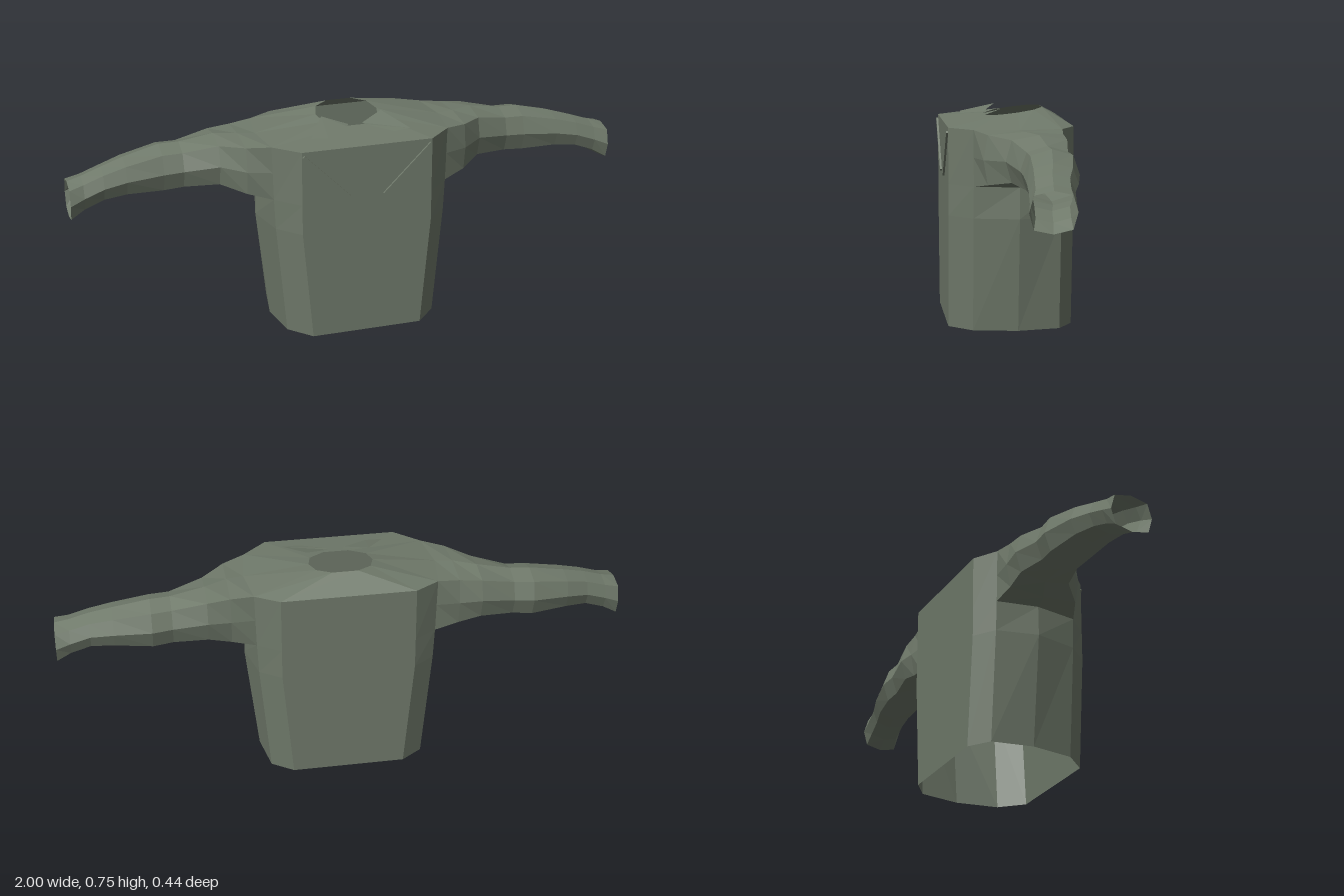
import * as THREE from 'three';

// Flat-shaded surface through equal-length rings of [x, y, z]; keep(ringIndex, sideIndex) can leave openings
function skin(name, rings, material, keep = () => true) {
  const n = rings[0].length, index = [];
  for (let r = 0; r < rings.length - 1; r++) {
    for (let i = 0; i < n; i++) {
      if (!keep(r, i)) continue;
      const j = (i + 1) % n, a = r * n + i, b = r * n + j, c = a + n, d = b + n;
      index.push(a, b, d, a, d, c);
    }
  }
  const geometry = new THREE.BufferGeometry();
  geometry.setAttribute('position', new THREE.Float32BufferAttribute(rings.flat(2), 3));
  geometry.setIndex(index);
  const flat = geometry.toNonIndexed();
  flat.computeVertexNormals();
  const mesh = new THREE.Mesh(flat, material);
  mesh.name = name;
  return mesh;
}

// Small flat panel, a fan of triangles
function panel(name, points, material) {
  const geometry = new THREE.BufferGeometry();
  const tris = [];
  for (let i = 1; i < points.length - 1; i++) tris.push(points[0], points[i], points[i + 1]);
  geometry.setAttribute('position', new THREE.Float32BufferAttribute(tris.flat(2), 3));
  geometry.computeVertexNormals();
  const mesh = new THREE.Mesh(geometry, material);
  mesh.name = name;
  return mesh;
}

// Complete a left half-ring (front to back) with its mirror image
const mirrorRing = (half) => [...half, ...half.map(([x, y, z]) => [-x, y, z]).reverse()];

export function createModel() {
  const group = new THREE.Group();
  const cloth = new THREE.MeshStandardMaterial({ color: 0x6f796a });
  cloth.name = 'grey green cloth';
  cloth.side = THREE.DoubleSide;

  // Ten-sided torso, open at the hem, arm holes and neck
  const bodyRing = (y, front, sideFront, middle) => mirrorRing([
    [front, y, 0.215], [sideFront, y, 0.135], [middle, y, -0.02],
    [sideFront, y, -0.168], [front, y, -0.22],
  ]);
  const neck = mirrorRing([
    [0.045, 0.727, 0.065], [0.1, 0.734, 0.02], [0.113, 0.742, -0.04],
    [0.095, 0.75, -0.1], [0.045, 0.755, -0.135],
  ]);
  const rings = [
    bodyRing(0, 0.2, 0.275, 0.3),
    bodyRing(0.4, 0.235, 0.31, 0.345),
    bodyRing(0.51, 0.235, 0.315, 0.342),
    bodyRing(0.705, 0.235, 0.32, 0.34),
    neck,
  ];
  const armHoleSides = [1, 2, 6, 7];
  // ring order runs from front to back on +x, so it faces outward when climbing
  group.add(skin('torso', rings, cloth, (r, i) => !(r === 2 && armHoleSides.includes(i))));

  // Sleeve sections: x, top, bottom, front z, back z, corner inset
  const sections = [
    [0.4, 0.706, 0.518, 0.11, -0.173, 0.05],
    [0.48, 0.703, 0.53, 0.045, -0.18, 0.09],
    [0.6, 0.682, 0.518, 0.012, -0.165, 0.12],
    [0.67, 0.68, 0.512, 0.01, -0.172, 0.12],
    [0.8, 0.652, 0.52, 0.015, -0.148, 0.12],
    [0.88, 0.63, 0.515, 0.02, -0.125, 0.12],
    [0.95, 0.607, 0.49, 0.026, -0.118, 0.12],
    [1, 0.595, 0.463, 0.035, -0.115, 0.1],
  ];
  for (const s of [1, -1]) {
    const side = s > 0 ? 'left' : 'right';
    const root = [
      [0.34, 0.705, -0.02], [0.32, 0.705, 0.135], [0.3175, 0.61, 0.135], [0.315, 0.51, 0.135],
      [0.342, 0.51, -0.02], [0.315, 0.51, -0.168], [0.3175, 0.61, -0.168], [0.32, 0.705, -0.168],
    ];
    const sleeve = [root, ...sections.map(([x, t, b, f, k, c]) => {
      const h = (t - b) * c, w = (f - k) * c, m = (f + k) / 2, y = (t + b) / 2;
      return [
        [x, t, m], [x, t - h, f - w], [x, y, f], [x, b + h, f - w],
        [x, b, m], [x, b + h, k + w], [x, y, k], [x, t - h, k + w],
      ];
    })].map((ring) => {
      const placed = ring.map(([x, y, z]) => [s * x, y, z]);
      return s > 0 ? placed.reverse() : placed;
    });
    // reversing keeps the outside facing outward on both sleeves
    sleeve.forEach((ring) => ring.reverse());
    group.add(skin(side + 'Sleeve', sleeve, cloth));

    // Collar flap rising towards the neck
    const flap = [
      [0.11, 0.755, 0.02], [0.025, 0.734, 0.068], [0.035, 0.732, 0.085],
      [0.12, 0.719, 0.145], [0.18, 0.722, 0.138],
    ].map(([x, y, z]) => [s * x, y, z]);
    group.add(panel(side + 'CollarFlap', s > 0 ? flap.reverse() : flap, cloth));

    // Slanted chest piping
    const piping = new THREE.Mesh(new THREE.BoxGeometry(0.24, 0.01, 0.007), cloth);
    piping.name = side + 'ChestPiping';
    piping.position.set(s * 0.145, 0.605, 0.2185);
    piping.rotation.z = s * Math.PI / 4;
    group.add(piping);
  }
  return group;
}
